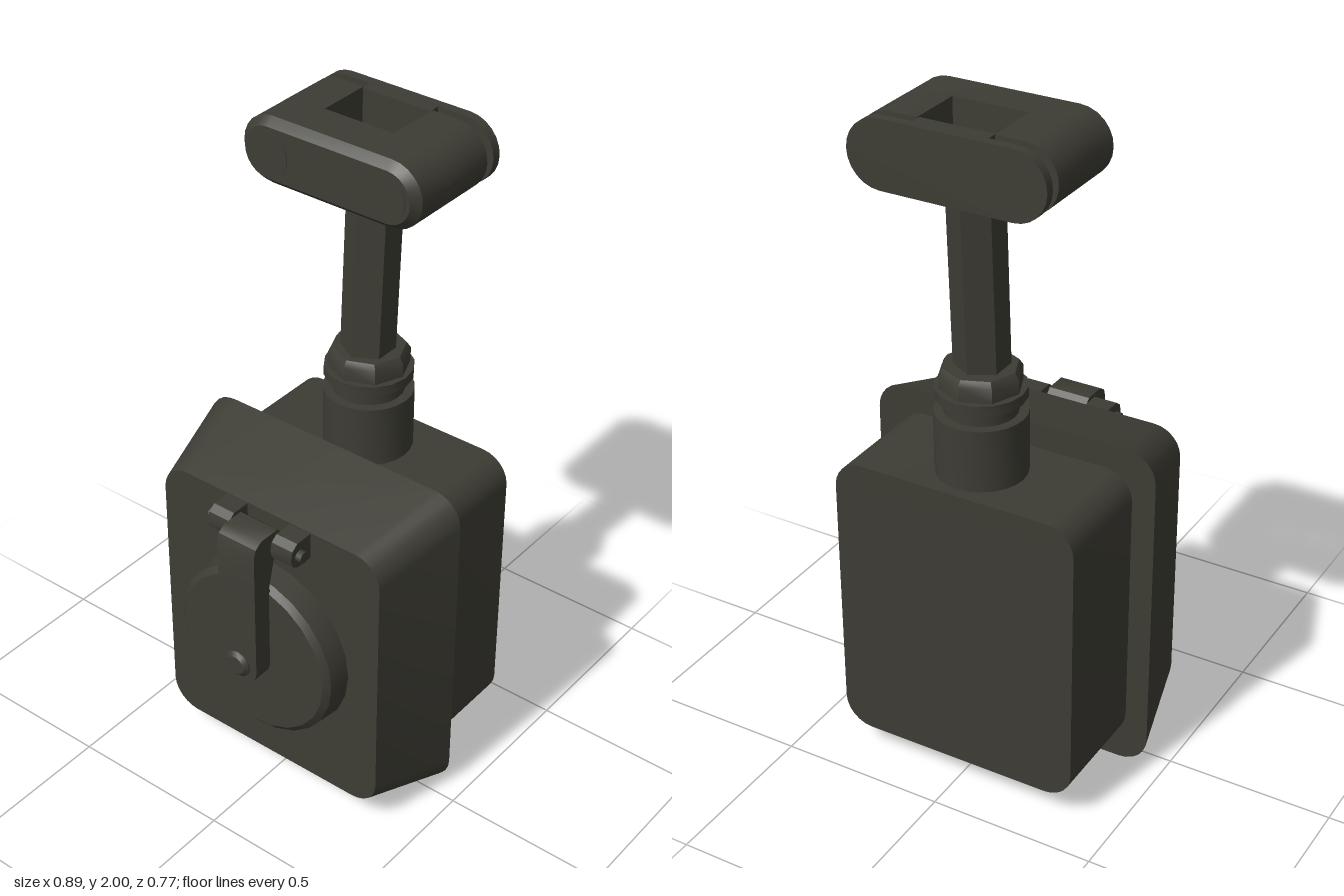
import * as THREE from 'three';
import { toCreasedNormals } from 'three/addons/utils/BufferGeometryUtils.js';

const darkOlive = new THREE.MeshStandardMaterial({ color: 0x3d3c34 });
const darkOliveOpen = darkOlive.clone();
darkOliveOpen.side = THREE.DoubleSide;
darkOlive.name = 'darkOlive';
darkOliveOpen.name = 'darkOliveOpen';

const crease = (geo, angle = 0.6) => toCreasedNormals(geo, angle);

// Rounded rectangle outline, counter-clockwise seen from +z
function roundedRing(halfW, halfH, r, segs) {
  const ring = [];
  [[1, 1], [-1, 1], [-1, -1], [1, -1]].forEach(([sx, sy], corner) => {
    for (let i = 0; i <= segs; i++) {
      const a = (corner + i / segs) * Math.PI / 2;
      ring.push([sx * (halfW - r) + r * Math.cos(a), sy * (halfH - r) + r * Math.sin(a)]);
    }
  });
  return ring;
}

// Closed solid through rounded rectangles [z, halfW, halfH, radius], back to front
function loft(sections, cy, segs = 6) {
  const pos = [];
  const rings = sections.map(([z, w, h, r]) => roundedRing(w, h, r, segs).map(([x, y]) => [x, y + cy, z]));
  const n = rings[0].length;
  const tri = (...pts) => pts.forEach((p) => pos.push(...p));
  for (let k = 0; k < rings.length - 1; k++) {
    for (let i = 0; i < n; i++) {
      const j = (i + 1) % n, lo = rings[k], hi = rings[k + 1];
      tri(lo[i], lo[j], hi[j]);
      tri(lo[i], hi[j], hi[i]);
    }
  }
  const back = rings[0], front = rings[rings.length - 1];
  for (let i = 1; i < n - 1; i++) {
    tri(back[0], back[i + 1], back[i]);
    tri(front[0], front[i], front[i + 1]);
  }
  const geo = new THREE.BufferGeometry();
  geo.setAttribute('position', new THREE.Float32BufferAttribute(pos, 3));
  return crease(geo);
}

// Side profile of [z, y] points swept from x0 to x1
function sideSweep(points, x0, x1) {
  const shape = new THREE.Shape(points.map(([z, y]) => new THREE.Vector2(-z, y)));
  const geo = new THREE.ExtrudeGeometry(shape, { depth: x1 - x0, bevelEnabled: false });
  geo.rotateY(Math.PI / 2).translate(x0, 0, 0);
  return crease(geo);
}

// Front outline swept from z0 to z1
function frontSweep(shape, z0, z1) {
  const geo = new THREE.ExtrudeGeometry(shape, { depth: z1 - z0, bevelEnabled: false, curveSegments: 8 });
  return crease(geo.translate(0, 0, z0));
}

// Turned solid of [radius, height] points, along y or along z
function turned(points, segs, alongZ = false) {
  const geo = new THREE.LatheGeometry(points.map(([r, h]) => new THREE.Vector2(r, h)), segs);
  if (alongZ) geo.rotateX(Math.PI / 2);
  return crease(geo.toNonIndexed());
}

export function createModel() {
  const model = new THREE.Group();
  model.name = 'socketBoxOnClamp';
  const add = (name, geo, x = 0, y = 0, z = 0, material = darkOlive) => {
    const mesh = new THREE.Mesh(geo, material);
    mesh.name = name;
    mesh.position.set(x, y, z);
    model.add(mesh);
    return mesh;
  };

  // Housing: straight back box and tapered front cover
  add('backBox', loft([[-0.382, 0.375, 0.446, 0.085], [-0.05, 0.375, 0.446, 0.085]], 0.523));
  add('frontCover', loft([[-0.052, 0.445, 0.522, 0.09], [0.228, 0.382, 0.446, 0.085]], 0.523));

  // Round lid
  add('lid', turned([[0, 0], [0.28, 0], [0.272, 0.066], [0.253, 0.082], [0, 0.082]], 24, true), 0, 0.522, 0.228);

  // Latch arm: hooked top and round-ended blade
  add('latchTop', sideSweep([[0.31, 0.78], [0.37, 0.78], [0.37, 0.925], [0.362, 0.95], [0.338, 0.966],
    [0.27, 0.966], [0.247, 0.945], [0.247, 0.888], [0.283, 0.885]], -0.065, 0.065));
  const blade = new THREE.Shape();
  blade.moveTo(0.065, 0.78);
  blade.lineTo(-0.065, 0.78);
  blade.lineTo(-0.065, 0.52);
  blade.absarc(0, 0.52, 0.065, Math.PI, Math.PI * 2, false);
  add('latchBlade', frontSweep(blade, 0.305, 0.37));
  add('latchKnob', turned([[0, 0], [0.042, 0], [0.042, 0.014], [0.03, 0.025], [0, 0.025]], 12, true), 0, 0.523, 0.36);

  // Hinge lugs and pin
  const lug = [[0.225, 0.885], [0.285, 0.885], [0.306, 0.9], [0.312, 0.925], [0.306, 0.95], [0.285, 0.966], [0.225, 0.966]];
  add('hingeLugLeft', sideSweep(lug, 0.075, 0.147));
  add('hingeLugRight', sideSweep(lug, -0.147, -0.075));
  add('hingePin', new THREE.CylinderGeometry(0.018, 0.018, 0.33, 10).rotateZ(Math.PI / 2), 0, 0.922, 0.277);

  // Cable gland: socket, neck, collar and faceted nut
  const glandZ = -0.22;
  add('glandSocket', turned([[0, 0.95], [0.13, 0.95], [0.13, 1.155], [0, 1.155]], 24), 0, 0, glandZ);
  add('glandNeck', turned([[0.103, 1.15], [0.103, 1.205]], 24), 0, 0, glandZ);
  add('glandCollar', turned([[0, 1.2], [0.128, 1.2], [0.128, 1.23], [0, 1.23]], 16), 0, 0, glandZ);
  add('glandNut', turned([[0.117, 1.23], [0.117, 1.272], [0.105, 1.29], [0, 1.29]], 8), 0, 0, glandZ);

  // Hexagonal pole, open at the top and leaning back
  const pole = new THREE.CylinderGeometry(0.078, 0.078, 0.56, 6, 1, true);
  const p = pole.attributes.position;
  for (let i = 0; i < p.count; i++) p.setZ(i, p.getZ(i) - 0.045 * p.getY(i));
  add('pole', crease(pole.toNonIndexed()), 0, 1.54, -0.225, darkOliveOpen);

  // Clamp jaw: bevelled front bar with an arm at either end
  const clampY = 1.903;
  add('clampFront', loft([[-0.16, 0.29, 0.097, 0.097], [-0.045, 0.29, 0.097, 0.097],
    [-0.021, 0.268, 0.075, 0.075]], clampY));
  const arm = new THREE.Shape();
  arm.moveTo(0.112, -0.097);
  arm.lineTo(0.193, -0.097);
  arm.absarc(0.193, 0, 0.097, -Math.PI / 2, Math.PI / 2, false);
  arm.lineTo(0.112, 0.097);
  for (const side of [1, -1]) {
    const name = side > 0 ? 'Left' : 'Right';
    const armGeo = frontSweep(arm, -0.326, -0.159);
    if (side < 0) armGeo.rotateZ(Math.PI);
    add('clampArm' + name, armGeo, 0, clampY);
    // Bolt head and the shank showing in the gap
    add('clampBolt' + name, new THREE.CylinderGeometry(0.064, 0.064, 0.004, 20).rotateX(Math.PI / 2), side * 0.19, clampY, -0.021);
    add('boltShank' + name, new THREE.CylinderGeometry(0.029, 0.029, 0.04, 14).rotateX(Math.PI / 2), side * 0.193, clampY, -0.34);
  }

  // Clamp back plate with a raised pad behind the pole
  add('clampPlate', loft([[-0.382, 0.29, 0.097, 0.097], [-0.354, 0.29, 0.097, 0.097]], clampY));
  add('clampPad', new THREE.BoxGeometry(0.22, 0.192, 0.036), 0, clampY, -0.338);

  return model;
}
